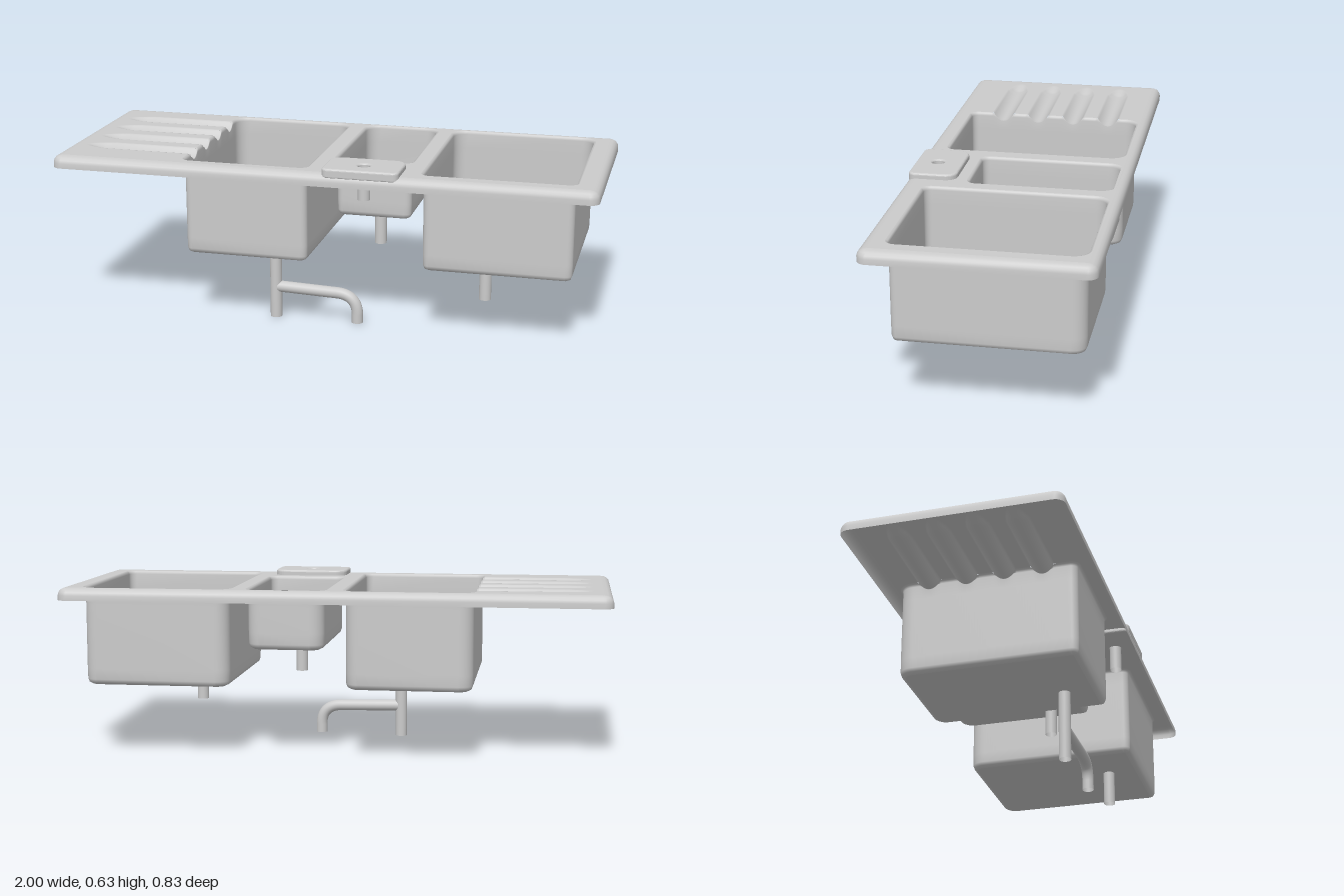
import * as THREE from 'three';

const TOP = 0.615, TILT = 0.028;
const steel = new THREE.MeshStandardMaterial({ color: 0xcccccc, side: THREE.DoubleSide });

const basins = [
  { name: 'leftBasin', x0: -0.505, x1: -0.05, z0: -0.343, z1: 0.315, floor: 0.26, drain: [-0.2, 0.19], pipeEnd: 0 },
  { name: 'middleBasin', x0: 0.025, x1: 0.3, z0: -0.35, z1: 0.165, floor: 0.4, drain: [0.164, 0.045], pipeEnd: 0.27 },
  { name: 'rightBasin', x0: 0.37, x1: 0.9, z0: -0.345, z1: 0.305, floor: 0.26, drain: [0.58, 0.176], pipeEnd: 0.13 },
];
const TAP = [0.16, 0.305], PIPE_R = 0.022;
// Area of the deck that carries the drainer grooves
const drainer = { x0: -0.94, x1: -0.515, z0: -0.285, z1: 0.25 };

// Depth of the drainer grooves at a point of the deck
function grooveDepth(x, z) {
  const t = Math.max(0, x + 0.92);
  if (t === 0 || x > -0.45) return 0;
  const halfWidth = 0.042 * Math.sqrt(Math.min(1, t / 0.09));
  let depth = 0;
  for (let i = 0; i < 4; i++) {
    const u = (z + 0.227 - 0.14 * i) / halfWidth;
    if (Math.abs(u) < 1) depth = (0.012 + 0.018 * Math.min(1, t / 0.4)) * (1 - u * u);
  }
  return depth * Math.min(1, t / 0.06);
}

// Rounded rectangle in x/z; the left side comes last
function ring({ x0, x1, z0, z1 }, inset, rBack, rFront, side = 60) {
  const a = x0 + inset, b = x1 - inset, c = z0 + inset, d = z1 - inset;
  const rb = Math.max(0.004, rBack - inset), rf = Math.max(0.004, rFront - inset);
  const corners = [[a + rb, c + rb, rb, 2], [b - rb, c + rb, rb, 3], [b - rf, d - rf, rf, 0], [a + rf, d - rf, rf, 1]];
  const pts = [];
  corners.forEach(([cx, cz, r, q]) => {
    for (let i = 0; i <= 8; i++) {
      const t = (q + i / 8) * Math.PI / 2;
      pts.push(new THREE.Vector2(cx + r * Math.cos(t), cz + r * Math.sin(t)));
    }
  });
  const start = pts[pts.length - 1], end = pts[0];
  for (let i = 1; i < side; i++) pts.push(start.clone().lerp(end, i / side));
  return pts;
}

// Skin through stacked rings, lowered where the grooves cross them
function loft(rings) {
  const n = rings[0].pts.length, pos = [], idx = [];
  rings.forEach(({ pts, y }) => pts.forEach(p => pos.push(p.x, Math.min(y, TOP - grooveDepth(p.x, p.y)), p.y)));
  for (let k = 0; k < rings.length - 1; k++) {
    for (let i = 0; i < n; i++) {
      const j = (i + 1) % n, a = k * n + i, b = k * n + j;
      idx.push(a, a + n, b, b, a + n, b + n);
    }
  }
  const g = new THREE.BufferGeometry();
  g.setAttribute('position', new THREE.Float32BufferAttribute(pos, 3));
  g.setIndex(idx);
  g.computeVertexNormals();
  return g;
}

const circle = ([x, z], r = PIPE_R) => new THREE.Path().absarc(x, z, r, 0, Math.PI * 2, true);

// Flat sheet with holes at height y
function sheet(pts, holes, y) {
  const s = new THREE.Shape(pts);
  s.holes = holes;
  return new THREE.ShapeGeometry(s, 24).rotateX(Math.PI / 2).translate(0, y, 0);
}

// Open vertical pipe
function pipe([x, z], y0, y1) {
  return new THREE.CylinderGeometry(PIPE_R, PIPE_R, y1 - y0, 24, 1, true).translate(x, (y0 + y1) / 2, z);
}

export function createModel() {
  const model = new THREE.Group();
  model.name = 'sink';
  const add = (name, geometry) => {
    const m = new THREE.Mesh(geometry, steel);
    m.name = name;
    model.add(m);
  };

  // Rolled outer rim
  const plate = { x0: -0.988, x1: 0.988, z0: -0.39, z1: 0.39 };
  const rim = [[0, 0.57], [0, 0.588], [0.003, 0.599], [0.01, 0.608], [0.02, 0.613], [0.034, TOP]]
    .map(([inset, y]) => ({ pts: ring(plate, inset, 0.036, 0.036), y }));
  add('rim', loft(rim));

  // Deck, cut out for the basins, drainer and tap
  const holes = basins.map((b, i) => {
    let pts = ring(b, -0.01, 0.05, 0.025);
    if (i === 0) {
      const { x0, x1, z0, z1 } = drainer;
      pts = pts.slice(0, 36).concat([[x1, z1], [x0, z1], [x0, z0], [x1, z0]].map(p => new THREE.Vector2(...p)));
    }
    return new THREE.Path(pts);
  });
  add('deck', sheet(rim[rim.length - 1].pts, [...holes, circle(TAP)], TOP));

  // Grooved drainer
  const w = drainer.x1 - drainer.x0, d = drainer.z1 - drainer.z0;
  const board = new THREE.PlaneGeometry(w, d, 60, 140).rotateX(-Math.PI / 2)
    .translate(drainer.x0 + w / 2, 0, drainer.z0 + d / 2);
  const p = board.attributes.position;
  for (let i = 0; i < p.count; i++) p.setY(i, TOP - grooveDepth(p.getX(i), p.getZ(i)));
  board.computeVertexNormals();
  add('drainer', board);

  // Basins with drain holes and waste pipes
  for (const b of basins) {
    const f = b.floor;
    const rings = [[-0.01, TOP], [-0.003, 0.612], [0, 0.603], [0, 0.55], [0, f + 0.06],
      [0.001, f + 0.02], [0.006, f + 0.007], [0.02, f]]
      .map(([inset, y]) => ({ pts: ring(b, inset, 0.05, 0.025), y }));
    add(b.name, loft(rings));
    add(b.name + 'Floor', sheet(rings[rings.length - 1].pts, [circle(b.drain)], f));
    add(b.name + 'Pipe', pipe(b.drain, b.pipeEnd, f));
  }

  // Side branch of the left waste pipe, bending down
  const [bx, bz] = basins[0].drain;
  const branch = new THREE.CurvePath();
  const v = (x, y) => new THREE.Vector3(x, y, bz + 0.008 * (x - bx) / 0.3);
  branch.add(new THREE.LineCurve3(v(bx + 0.01, 0.117), v(0.03, 0.112)));
  branch.add(new THREE.CubicBezierCurve3(v(0.03, 0.112), v(0.08, 0.112), v(0.11, 0.09), v(0.112, 0.04)));
  branch.add(new THREE.LineCurve3(v(0.112, 0.04), v(0.112, 0.005)));
  add('branchPipe', new THREE.TubeGeometry(branch, 48, 0.021, 20, false));

  // Raised tap ledge with its hole and sleeve
  const ledge = new THREE.Shape(ring({ x0: 0.03, x1: 0.29, z0: 0.22, z1: 0.378 }, 0, 0.035, 0.015, 2));
  ledge.holes.push(circle(TAP, PIPE_R + 0.008));
  add('tapLedge', new THREE.ExtrudeGeometry(ledge, {
    depth: 0.02, bevelEnabled: true, bevelSize: 0.008, bevelThickness: 0.008, bevelSegments: 4, curveSegments: 24,
  }).rotateX(Math.PI / 2).translate(0, 0.627, 0));
  add('tapSleeve', pipe(TAP, 0.51, 0.63));

  model.rotation.y = TILT;
  return model;
}
